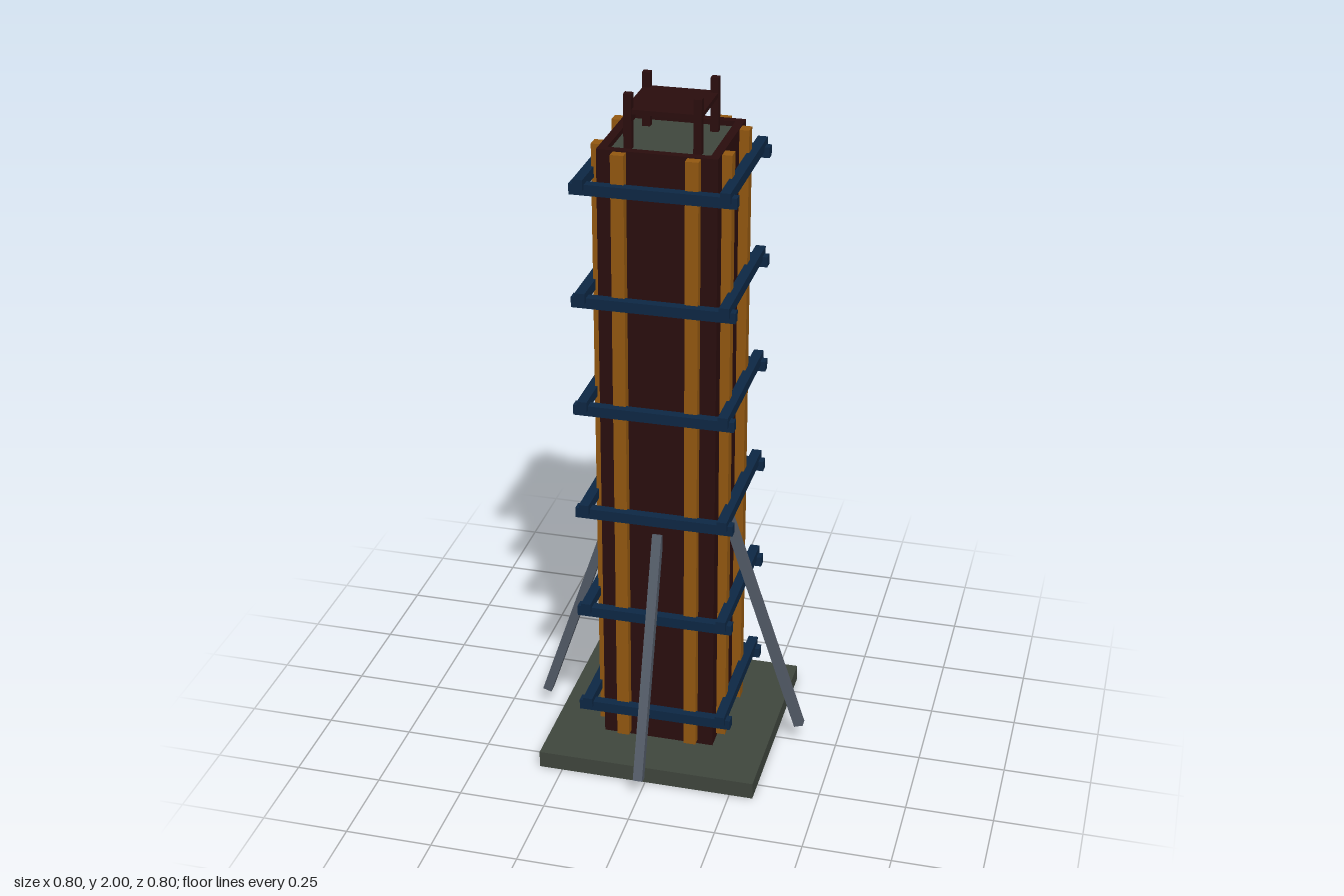
import * as THREE from 'three';

const mat = (name, color) => {
  const m = new THREE.MeshStandardMaterial({ color });
  m.name = name;
  return m;
};

export function createModel() {
  const model = new THREE.Group();
  model.name = 'columnFormwork';
  const concrete = mat('concrete grey', 0x3f463d);
  const plywood = mat('dark red brown', 0x2a0d0d);
  const timber = mat('timber orange', 0x935810);
  const steel = mat('clamp blue', 0x0d2744);
  const prop = mat('strut grey', 0x525a66);

  function box(name, material, w, h, d, x, y, z, parent = model) {
    const mesh = new THREE.Mesh(new THREE.BoxGeometry(w, h, d), material);
    mesh.name = name;
    mesh.position.set(x, y, z);
    parent.add(mesh);
    return mesh;
  }

  // Footing slab and the poured column
  box('footing', concrete, 0.636, 0.05, 0.636, 0, 0.025, 0);
  box('concreteColumn', concrete, 0.278, 1.8, 0.278, 0, 0.95, 0);

  // Four sides: shutter panel, two battens and a raking strut each
  const foot = new THREE.Vector2(0.389, 0.058);
  const head = new THREE.Vector2(0.163, 0.739);
  const rake = head.clone().sub(foot);
  for (let i = 0; i < 4; i++) {
    const side = new THREE.Group();
    side.name = 'formSide' + (i + 1);
    side.rotation.y = i * Math.PI / 2;
    box('shutterPanel', plywood, 0.302, 1.813, 0.024, 0.012, 0.9585, 0.151, side);
    for (const s of [-1, 1])
      box('batten', timber, 0.036, 1.797, 0.028, s * 0.1, 0.9635, 0.176, side);
    const strut = box('strut', prop, 0.027, rake.length(), 0.027,
      0, (foot.y + head.y) / 2, (foot.x + head.x) / 2, side);
    strut.rotation.x = Math.atan2(rake.x, rake.y);
    model.add(side);
  }

  // Clamp frames: crossing pairs of bars, one pair set slightly higher
  for (let i = 0; i < 6; i++) {
    const frame = new THREE.Group();
    frame.name = 'clampFrame' + (i + 1);
    frame.position.y = 0.164 + i * 0.3206;
    for (const s of [-1, 1]) {
      box('lowerClampBar', steel, 0.45, 0.03, 0.028, 0, 0, s * 0.198, frame);
      box('upperClampBar', steel, 0.028, 0.03, 0.45, s * 0.197, 0.017, 0, frame);
    }
    model.add(frame);
  }

  // Starter bars and their tie plate
  for (const x of [-0.094, 0.094])
    for (const z of [-0.094, 0.094])
      box('starterBar', plywood, 0.022, 0.2, 0.022, x, 1.9, z);
  box('tiePlate', plywood, 0.206, 0.013, 0.206, 0, 1.952, 0);

  return model;
}
